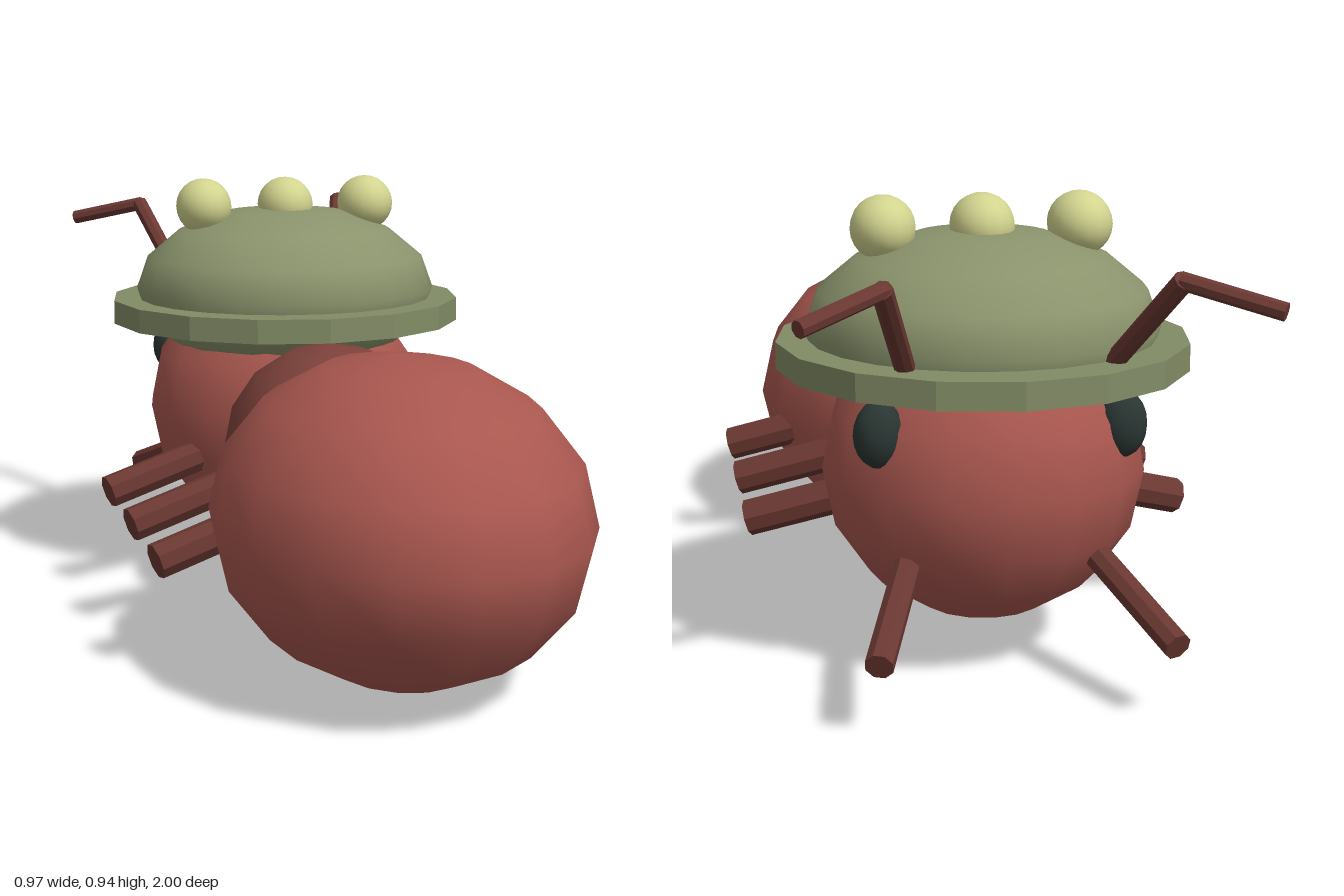
import * as THREE from 'three';

const mat = (name, color) => {
  const m = new THREE.MeshStandardMaterial({ color });
  m.name = name;
  return m;
};

export function createModel() {
  const root = new THREE.Group();
  root.name = 'helmetedAnt';

  const red = mat('brickRed', 0xa9574f);
  const darkRed = mat('darkBrickRed', 0x7d423b);
  const brown = mat('limbBrown', 0x6b3832);
  const green = mat('helmetGreen', 0x8a936c);
  const olive = mat('brimGreen', 0x828c66);
  const yellow = mat('paleYellow', 0xd2d48f);
  const black = mat('eyeBlack', 0x2a3633);

  // Smooth low-poly ellipsoid
  const blob = (name, material, pos, radii, w = 16, h = 8) => {
    const geo = new THREE.SphereGeometry(1, w, h).scale(...radii);
    const mesh = new THREE.Mesh(geo, material);
    mesh.name = name;
    mesh.position.set(...pos);
    root.add(mesh);
  };

  // Faceted version of a geometry
  const faceted = (geo) => {
    const g = geo.toNonIndexed();
    g.computeVertexNormals();
    return g;
  };

  // Faceted rod between two points
  const rod = (name, a, b, radius) => {
    const from = new THREE.Vector3(...a);
    const to = new THREE.Vector3(...b);
    const dir = to.clone().sub(from);
    const mesh = new THREE.Mesh(
      faceted(new THREE.CylinderGeometry(radius, radius, dir.length(), 8)), brown);
    mesh.name = name;
    mesh.position.copy(from).add(to).multiplyScalar(0.5);
    mesh.quaternion.setFromUnitVectors(new THREE.Vector3(0, 1, 0), dir.normalize());
    root.add(mesh);
  };

  // Body, head pointing towards -z
  blob('abdomen', red, [0, 0.335, 0.52], [0.38, 0.33, 0.48]);
  blob('thorax', darkRed, [0, 0.36, 0.015], [0.24, 0.245, 0.29]);
  blob('head', red, [0, 0.4, -0.415], [0.33, 0.32, 0.33]);

  // Helmet
  blob('helmetDome', green, [0, 0.68, -0.4], [0.36, 0.2, 0.345], 24, 8);
  const brim = new THREE.Mesh(
    faceted(new THREE.CylinderGeometry(0.418, 0.418, 0.055, 16)), olive);
  brim.name = 'helmetBrim';
  brim.position.set(0, 0.632, -0.405);
  root.add(brim);
  for (const x of [-0.2, 0, 0.2]) {
    blob('helmetKnob', yellow, [x, 0.88, -0.395], [0.066, 0.066, 0.078], 16, 12);
  }

  for (const s of [1, -1]) {
    const side = s > 0 ? 'left' : 'right';
    blob(side + 'Eye', black, [s * 0.24, 0.515, -0.605], [0.05, 0.067, 0.045], 12, 10);

    // Three stubby legs
    for (const z of [-0.22, 0.085, 0.38]) {
      rod(side + 'Leg', [s * 0.1, 0.345, z - 0.08], [s * 0.47, 0.24, z], 0.038);
    }

    // Mandible
    rod(side + 'Mandible', [s * 0.18, 0.265, -0.6], [s * 0.28, 0.155, -0.88], 0.028);

    // Bent antenna
    rod(side + 'AntennaBase', [s * 0.185, 0.62, -0.64], [s * 0.27, 0.848, -0.885], 0.02);
    rod(side + 'AntennaTip', [s * 0.265, 0.847, -0.88], [s * 0.425, 0.805, -0.985], 0.017);
  }

  return root;
}
